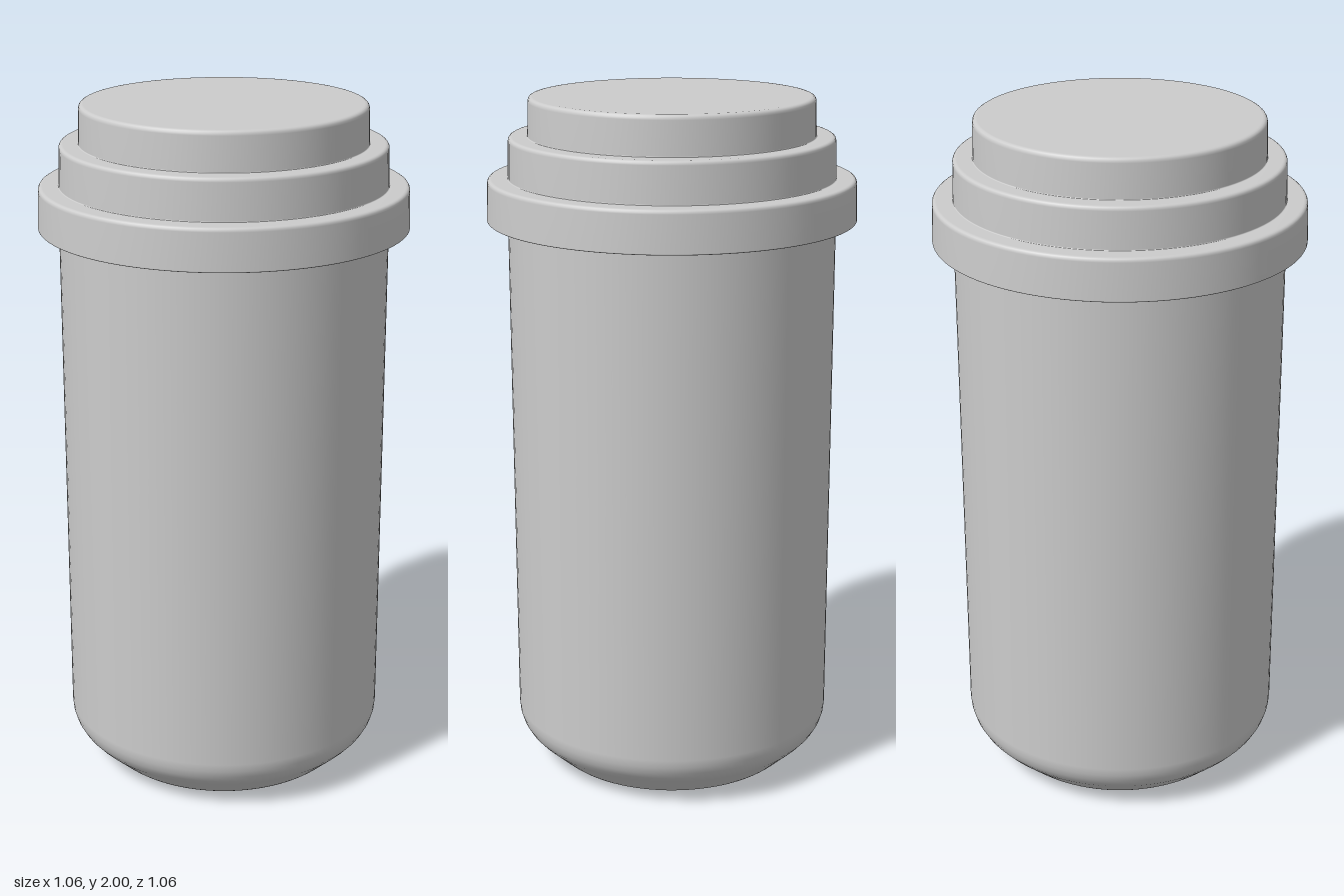
import * as THREE from 'three';

const material = new THREE.MeshStandardMaterial({ color: 0xcccccc });

// Lathe a profile of [radius, height, cornerRounding] points, softening each corner
function turned(name, corners, steps = 4) {
  const pts = corners.map(([r, y]) => new THREE.Vector2(r, y));
  const profile = [pts[0]];
  for (let i = 1; i < pts.length - 1; i++) {
    const round = corners[i][2];
    const from = pts[i - 1].clone().sub(pts[i]).setLength(round).add(pts[i]);
    const to = pts[i + 1].clone().sub(pts[i]).setLength(round).add(pts[i]);
    profile.push(...new THREE.QuadraticBezierCurve(from, pts[i], to).getPoints(steps));
  }
  profile.push(pts[pts.length - 1]);
  const mesh = new THREE.Mesh(new THREE.LatheGeometry(profile, 96), material);
  mesh.name = name;
  return mesh;
}

export function createModel() {
  const group = new THREE.Group();
  group.name = 'lidded jar';

  // Tall cylinder with a softened chamfer at the foot
  group.add(turned('body', [
    [0, 0], [0.35, 0, 0.025], [0.47, 0.11, 0.05], [0.47, 1.74, 0.01], [0, 1.74],
  ]));

  // Stepped lid whose hollow skirt hangs clear of the body
  group.add(turned('lid', [
    [0, 1.75], [0.505, 1.75, 0.004], [0.505, 1.65, 0.004],
    [0.53, 1.65, 0.004], [0.526, 1.77, 0.012],
    [0.468, 1.77, 0.003], [0.465, 1.888, 0.012],
    [0.41, 1.888, 0.003], [0.407, 2, 0.014], [0, 2],
  ]));

  return group;
}
